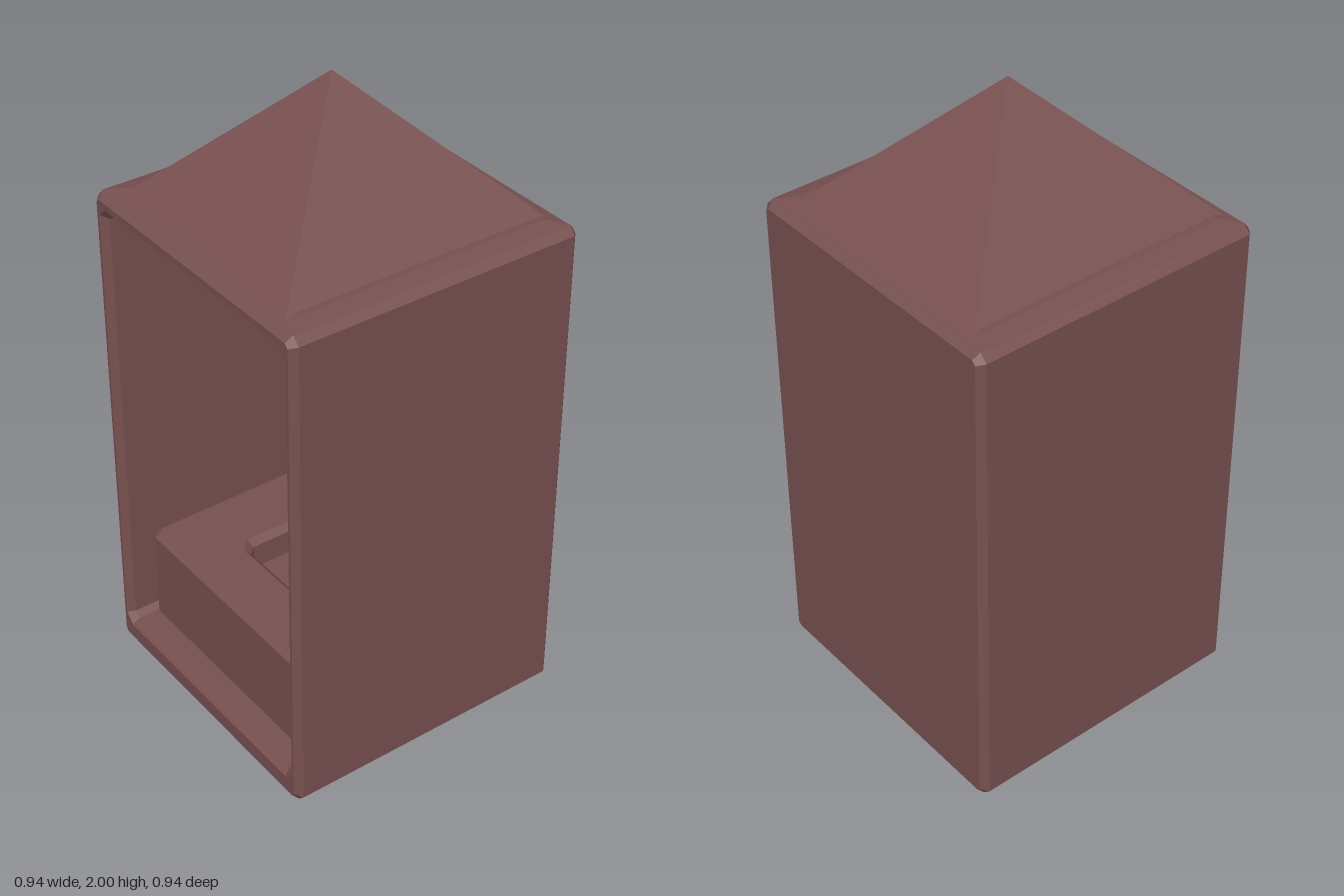
import * as THREE from 'three';

const BEVEL = 0.02;

// Closed rectangle with cut corners
function rect(target, x0, y0, x1, y1, c) {
  target.setFromPoints([
    [x0 + c, y0], [x1 - c, y0], [x1, y0 + c], [x1, y1 - c],
    [x1 - c, y1], [x0 + c, y1], [x0, y1 - c], [x0, y0 + c],
  ].map(([x, y]) => new THREE.Vector2(x, y)));
  target.closePath();
  return target;
}

// Bevelled slab from z0 to z1; the bevel widens the outline and narrows the hole
function slab(outer, hole, z0, z1) {
  const shape = rect(new THREE.Shape(), ...outer);
  if (hole) shape.holes.push(rect(new THREE.Path(), ...hole));
  const geometry = new THREE.ExtrudeGeometry(shape, {
    depth: z1 - z0 - 2 * BEVEL,
    bevelSize: BEVEL, bevelThickness: BEVEL, bevelSegments: 1,
  });
  return geometry.translate(0, 0, z0 + BEVEL);
}

export function createModel() {
  const model = new THREE.Group();
  const material = new THREE.MeshStandardMaterial({ color: 0x785050, flatShading: true });
  const add = (name, geometry) => {
    const mesh = new THREE.Mesh(geometry, material);
    mesh.name = name;
    model.add(mesh);
    return mesh;
  };

  // Walls, floor and ceiling as one open-fronted frame, closed by a back wall
  const outline = [-0.45, 0.02, 0.45, 1.57, 0.012];
  add('walls', slab(outline, [-0.44, 0.07, 0.44, 1.55, 0.03], -0.45, 0.47));
  add('backWall', slab(outline, null, -0.47, -0.41));

  // Bench with a square recess in its top
  const bench = slab([-0.4, -0.36, 0.4, 0.41, 0.012], [-0.2, -0.21, 0.2, 0.21, 0.035], 0.05, 0.4);
  add('bench', bench.rotateX(-Math.PI / 2));
  const recess = new THREE.BoxGeometry(0.4, 0.2, 0.42);
  add('recessFloor', recess.translate(0, 0.2, 0));

  // Four-sided roof
  const roof = new THREE.ConeGeometry(Math.SQRT2, 1, 4).rotateY(Math.PI / 4);
  roof.scale(0.395, 0.415, 0.435).translate(0, 1.7925, 0.005);
  add('roof', roof);

  // Low skirt easing the roof into the wall tops
  const skirt = new THREE.CylinderGeometry(0.4 * Math.SQRT2, 0.45 * Math.SQRT2, 0.012, 4, 1);
  skirt.rotateY(Math.PI / 4).translate(0, 1.595, 0);
  add('roofSkirt', skirt);

  return model;
}
